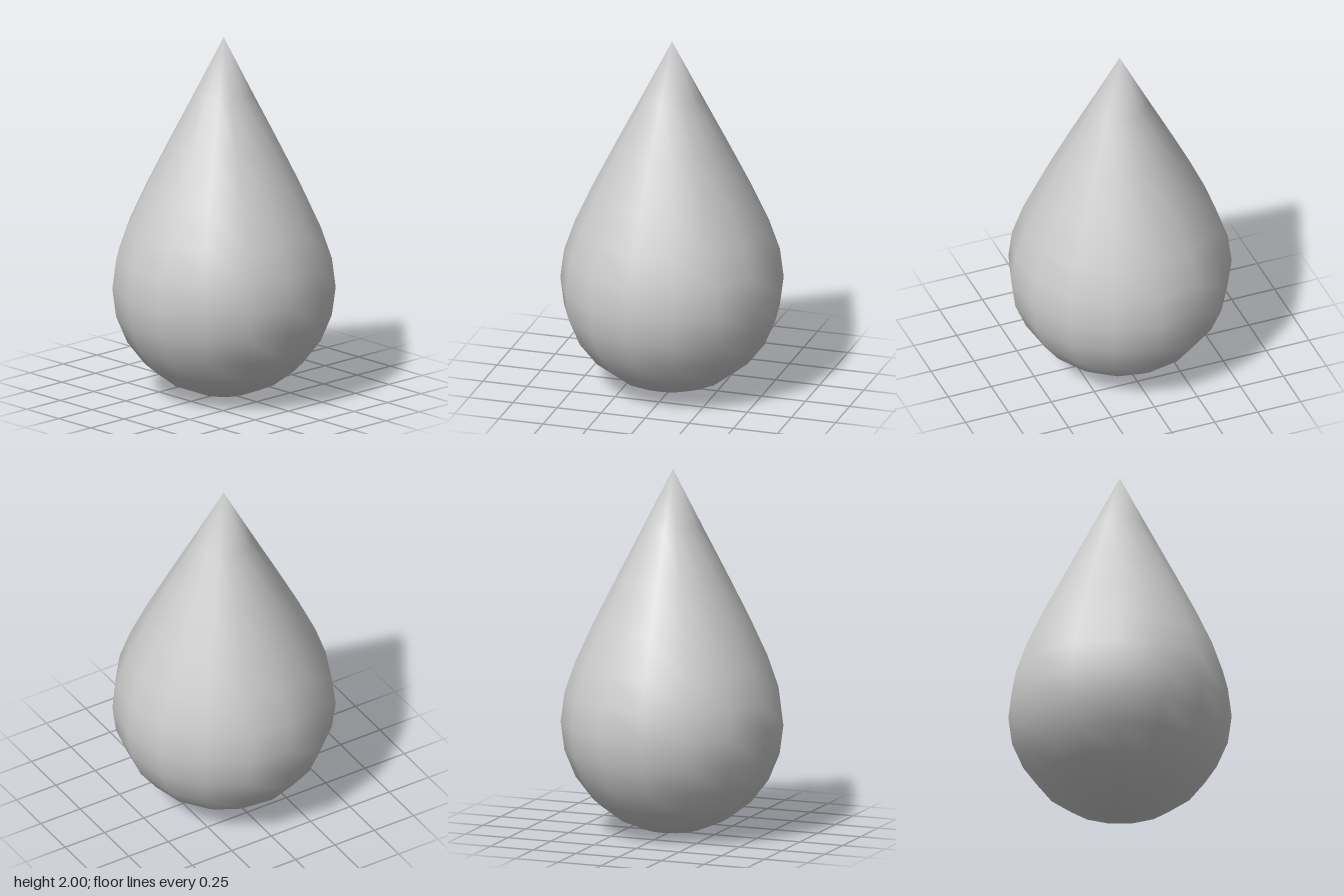
import * as THREE from 'three';
import { mergeVertices } from 'three/addons/utils/BufferGeometryUtils.js';

const SIDES = 15, ROWS = 12, RADIUS = 0.607;
// Heights of the upper rows, from the tip down, pulled up into a point
const TIP_ROWS = [2, 1.69, 1.405, 1.155, 0.945, 0.77];

export function createModel() {
  const group = new THREE.Group();

  // Teardrop: a sphere whose upper rows are stretched to a tip
  let geometry = new THREE.SphereGeometry(RADIUS, SIDES, ROWS, Math.PI);
  const pos = geometry.attributes.position;
  for (let i = 0; i < pos.count; i++) {
    const row = Math.floor(i / (SIDES + 1));
    pos.setY(i, row < TIP_ROWS.length ? TIP_ROWS[row] : pos.getY(i) + RADIUS);
  }

  // Weld the seam and poles so the shading is smooth all round
  geometry.deleteAttribute('uv');
  geometry.deleteAttribute('normal');
  geometry = mergeVertices(geometry);
  geometry.computeVertexNormals();

  const drop = new THREE.Mesh(geometry, new THREE.MeshStandardMaterial({ color: 0xcccccc }));
  drop.name = 'teardrop';
  drop.position.x = -0.007; // centres the odd-sided outline
  group.add(drop);
  return group;
}
